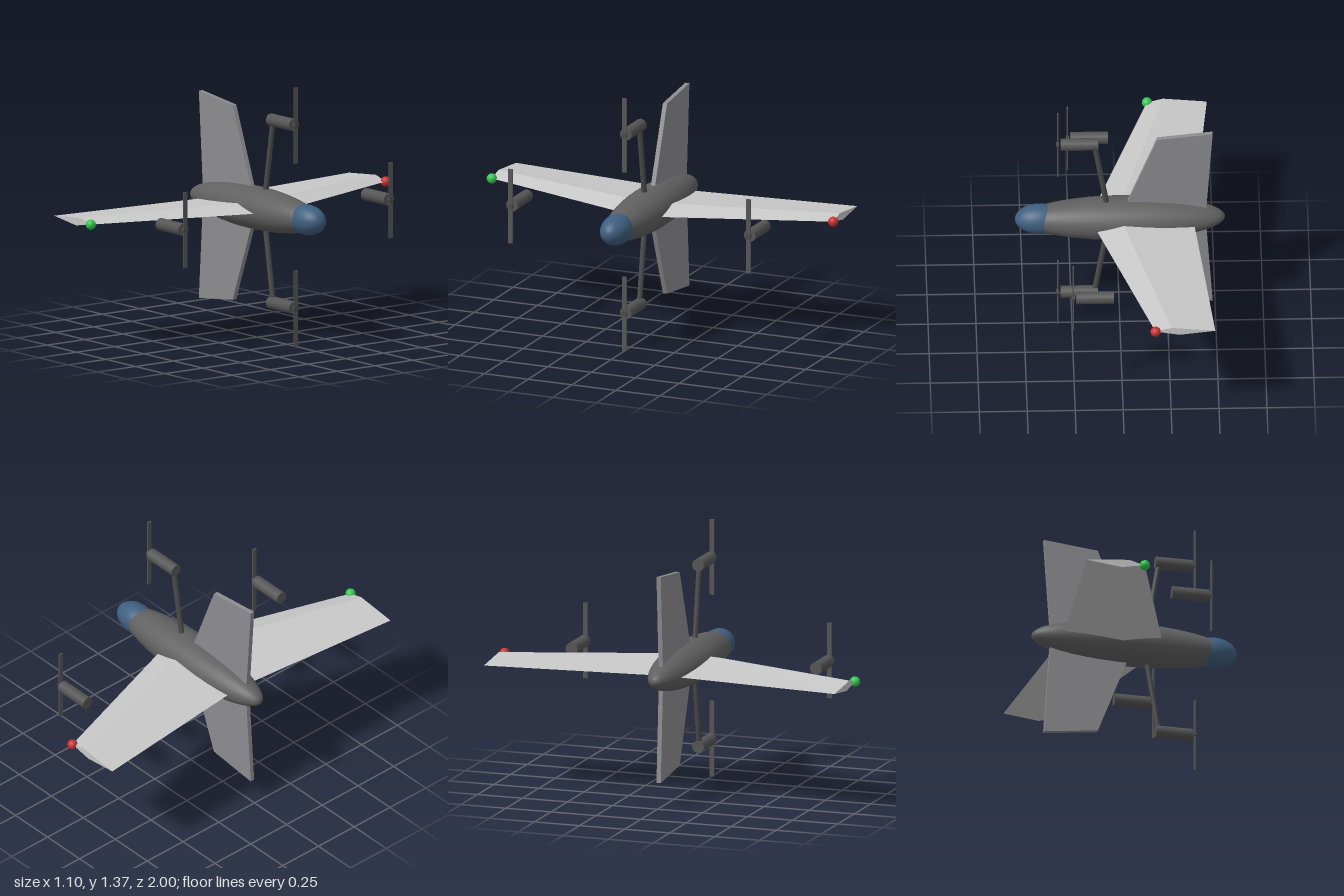
import * as THREE from 'three';

const MID = 0.69; // height of the fuselage axis

const paint = (name, color) => {
  const m = new THREE.MeshStandardMaterial({ color });
  m.name = name;
  return m;
};

// Wing spanning both sides, lofted through four-sided aerofoil sections
function wingGeometry() {
  const section = (z, lead, trail, half) => {
    const chord = lead - trail;
    return [
      [lead, MID, z],
      [lead - chord * 0.27, MID + half, z],
      [trail, MID, z],
      [lead - chord * 0.4, MID - half, z],
    ];
  };
  const rows = [
    section(-0.973, -0.164, -0.476, 0.023),
    section(0, 0.16, -0.38, 0.037),
    section(0.973, -0.164, -0.476, 0.023),
  ];
  const pos = [];
  const quad = (a, b, c, d) => pos.push(...a, ...b, ...c, ...a, ...c, ...d);
  for (let i = 0; i < 2; i++) {
    for (let j = 0; j < 4; j++) {
      const k = (j + 1) % 4;
      quad(rows[i][j], rows[i][k], rows[i + 1][k], rows[i + 1][j]);
    }
  }
  quad(...rows[2]);
  quad(...[...rows[0]].reverse());
  const g = new THREE.BufferGeometry();
  g.setAttribute('position', new THREE.Float32BufferAttribute(pos, 3));
  g.computeVertexNormals();
  return g;
}

// Tail fin outline, mirrored below the axis when side is -1
function finGeometry(side) {
  const outline = [[0, 0], [-0.196, 0.517], [-0.484, 0.55], [-0.447, 0]];
  const shape = new THREE.Shape(outline.map(([x, y]) => new THREE.Vector2(x, y * side)));
  const g = new THREE.ExtrudeGeometry(shape, { depth: 0.024, bevelEnabled: false });
  return g.translate(0, MID, -0.012);
}

export function createModel() {
  const model = new THREE.Group();
  model.name = 'aircraft';

  const bodyGrey = paint('body grey', 0x606060);
  const wingGrey = paint('wing light grey', 0xc8c8c8);
  const finGrey = paint('fin grey', 0x8c8c90);
  const motorGrey = paint('motor grey', 0x555555);
  const armGrey = paint('arm dark grey', 0x4a4a4a);
  const canopyBlue = paint('canopy blue', 0x3f5f80);
  const lampRed = paint('lamp red', 0xc83232);
  const lampGreen = paint('lamp green', 0x32c850);

  const add = (parent, name, geometry, material, x = 0, y = 0, z = 0) => {
    const mesh = new THREE.Mesh(geometry, material);
    mesh.name = name;
    mesh.position.set(x, y, z);
    parent.add(mesh);
    return mesh;
  };
  // Ellipsoid with its poles on the x axis
  const ellipsoid = (a, b, c) => new THREE.SphereGeometry(1, 32, 20).rotateZ(-Math.PI / 2).scale(a, b, c);

  // Fuselage and nose canopy
  add(model, 'fuselage', ellipsoid(0.533, 0.112, 0.126), bodyGrey, -0.016, MID, 0);
  add(model, 'noseCanopy', ellipsoid(0.127, 0.08, 0.08), canopyBlue, 0.42, MID, 0);

  // Wing and tail fins
  add(model, 'wing', wingGeometry(), wingGrey);
  add(model, 'upperFin', finGeometry(1), finGrey);
  add(model, 'lowerFin', finGeometry(-1), finGrey);

  // Wing tip lamps
  const lamp = new THREE.SphereGeometry(0.027, 16, 12);
  add(model, 'leftTipLamp', lamp, lampGreen, -0.164, MID, 0.973);
  add(model, 'rightTipLamp', lamp, lampRed, -0.164, MID, -0.973);

  // Motor pod with hub and two-bladed propeller; x is the rear of the pod
  const podGeometry = new THREE.CylinderGeometry(0.033, 0.033, 0.196, 16).rotateZ(-Math.PI / 2);
  const hubGeometry = new THREE.CylinderGeometry(0.015, 0.015, 0.015, 12).rotateZ(-Math.PI / 2);
  const bladeGeometry = new THREE.BoxGeometry(0.008, 0.403, 0.025);
  const addMotor = (name, x, y, z) => {
    const motor = new THREE.Group();
    motor.name = name;
    motor.position.set(x, y, z);
    add(motor, 'pod', podGeometry, motorGrey, 0.098);
    add(motor, 'hub', hubGeometry, armGrey, 0.211);
    add(motor, 'propeller', bladeGeometry, motorGrey, 0.211);
    model.add(motor);
  };
  for (const side of [1, -1]) {
    addMotor(side > 0 ? 'upperMotor' : 'lowerMotor', 0.113, MID + side * 0.4855, 0);
    addMotor(side > 0 ? 'leftMotor' : 'rightMotor', 0.047, MID, side * 0.678);

    // Slanted arm carrying the upper or lower motor
    const start = new THREE.Vector3(0.053, MID, 0);
    const end = new THREE.Vector3(0.131, MID + side * 0.4755, 0);
    const dir = end.clone().sub(start);
    const arm = add(model, side > 0 ? 'upperArm' : 'lowerArm',
      new THREE.CylinderGeometry(0.0145, 0.0145, dir.length(), 12), armGrey);
    arm.position.copy(start).add(end).multiplyScalar(0.5);
    arm.quaternion.setFromUnitVectors(new THREE.Vector3(0, 1, 0), dir.normalize());
  }
  return model;
}
